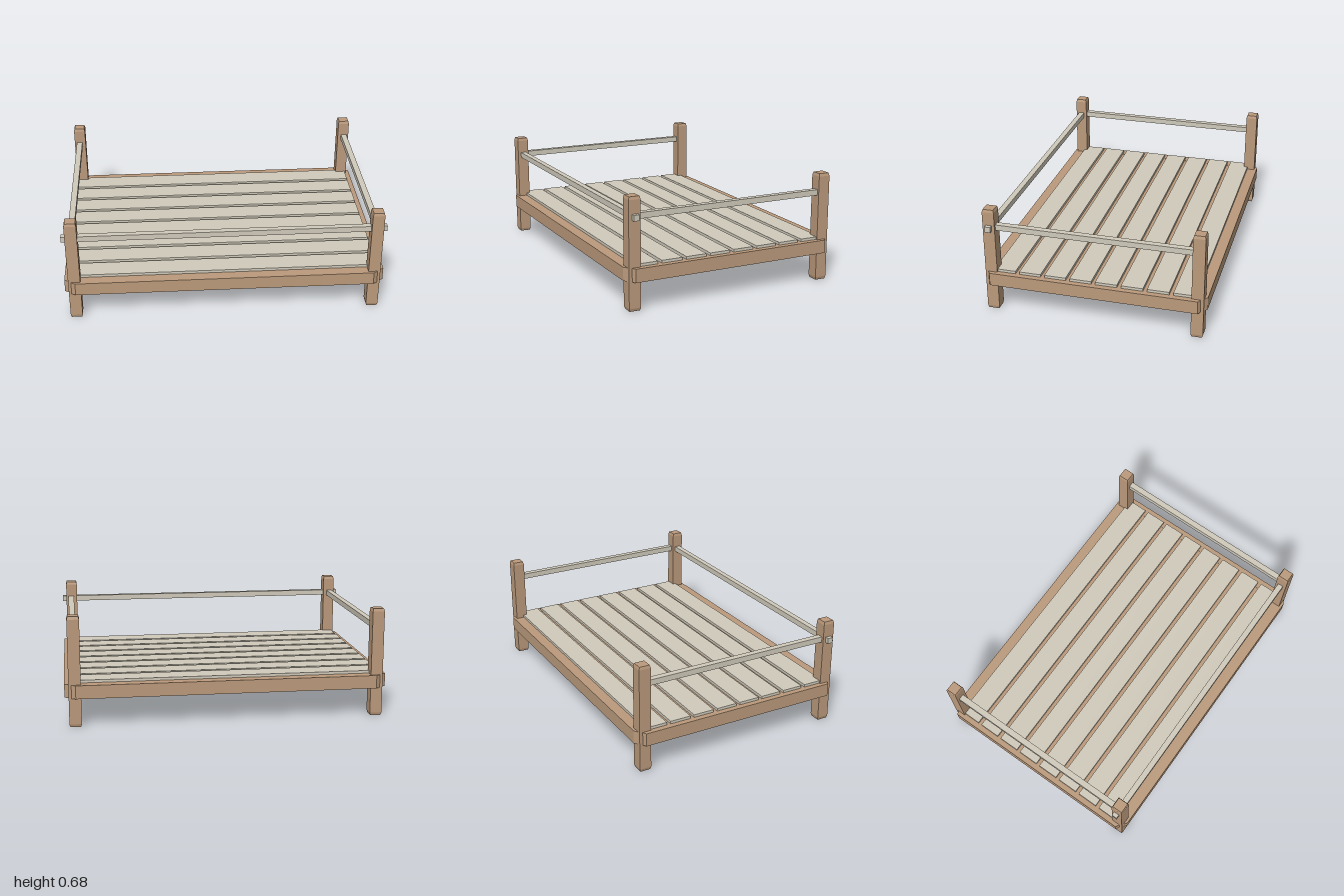
import * as THREE from 'three';

const wood = new THREE.MeshStandardMaterial({ color: 0xbb9a7c, flatShading: true });
const pale = new THREE.MeshStandardMaterial({ color: 0xd0cabb, flatShading: true });

export function createModel() {
  const group = new THREE.Group();

  const add = (name, geometry, material, x, y, z) => {
    const mesh = new THREE.Mesh(geometry, material);
    mesh.name = name;
    mesh.position.set(x, y, z);
    group.add(mesh);
    return mesh;
  };
  const box = (name, w, h, d, material, x, y, z) =>
    add(name, new THREE.BoxGeometry(w, h, d), material, x, y, z);

  // Corner posts, slightly bevelled at both ends
  const half = 0.0325, bevel = 0.018, height = 0.683;
  const square = new THREE.Shape([
    new THREE.Vector2(-half, -half), new THREE.Vector2(half, -half),
    new THREE.Vector2(half, half), new THREE.Vector2(-half, half),
  ]);
  const postGeometry = new THREE.ExtrudeGeometry(square, {
    depth: height - 2 * bevel, bevelThickness: bevel, bevelSize: 0.005, bevelSegments: 1,
  });
  postGeometry.rotateX(-Math.PI / 2);
  for (const [sx, side] of [[1, 'left'], [-1, 'right']])
    for (const [sz, end] of [[1, 'Front'], [-1, 'Back']])
      add(`${side}${end}Post`, postGeometry, wood, sx * 0.9375, bevel, sz * 0.6425);

  // Frame beams with mitred outer ends; plan shape runs along x, outer face at +z
  const bottom = 0.18, beamHeight = 0.083;
  const beam = (name, length, inner, outer, cutLength, cutDepth, angle) => {
    const l = length / 2;
    const shape = new THREE.Shape([
      new THREE.Vector2(-l, -inner), new THREE.Vector2(-l, -(outer - cutDepth)),
      new THREE.Vector2(-l + cutLength, -outer), new THREE.Vector2(l - cutLength, -outer),
      new THREE.Vector2(l, -(outer - cutDepth)), new THREE.Vector2(l, -inner),
    ]);
    const geometry = new THREE.ExtrudeGeometry(shape, { depth: beamHeight, bevelEnabled: false });
    geometry.rotateX(-Math.PI / 2);
    add(name, geometry, wood, 0, bottom, 0).rotation.y = angle;
  };
  beam('frontBeam', 1.925, 0.63, 0.697, 0.03, 0.02, 0);
  beam('backBeam', 1.925, 0.63, 0.697, 0.03, 0.02, Math.PI);
  beam('leftBeam', 1.32, 0.93, 1.0, 0.012, 0.022, Math.PI / 2);
  beam('rightBeam', 1.32, 0.93, 1.0, 0.012, 0.022, -Math.PI / 2);

  // Solid base between the beams
  box('basePanel', 1.88, beamHeight - 0.004, 1.28, wood, 0, bottom + beamHeight / 2, 0);

  // Deck slats
  for (let i = 0; i < 8; i++)
    box(`slat${i + 1}`, 1.93, 0.018, 0.135, pale, 0, 0.271, (i - 3.5) * 0.16 - 0.002);

  // Guard rails: the front one passes through the posts, the back is open
  const railY = 0.563;
  box('frontRail', 2.0, 0.036, 0.036, pale, 0, railY, 0.641);
  for (const [sx, side] of [[1, 'left'], [-1, 'right']])
    box(`${side}Rail`, 0.038, 0.036, 1.23, pale, sx * 0.941, railY, 0);

  return group;
}
